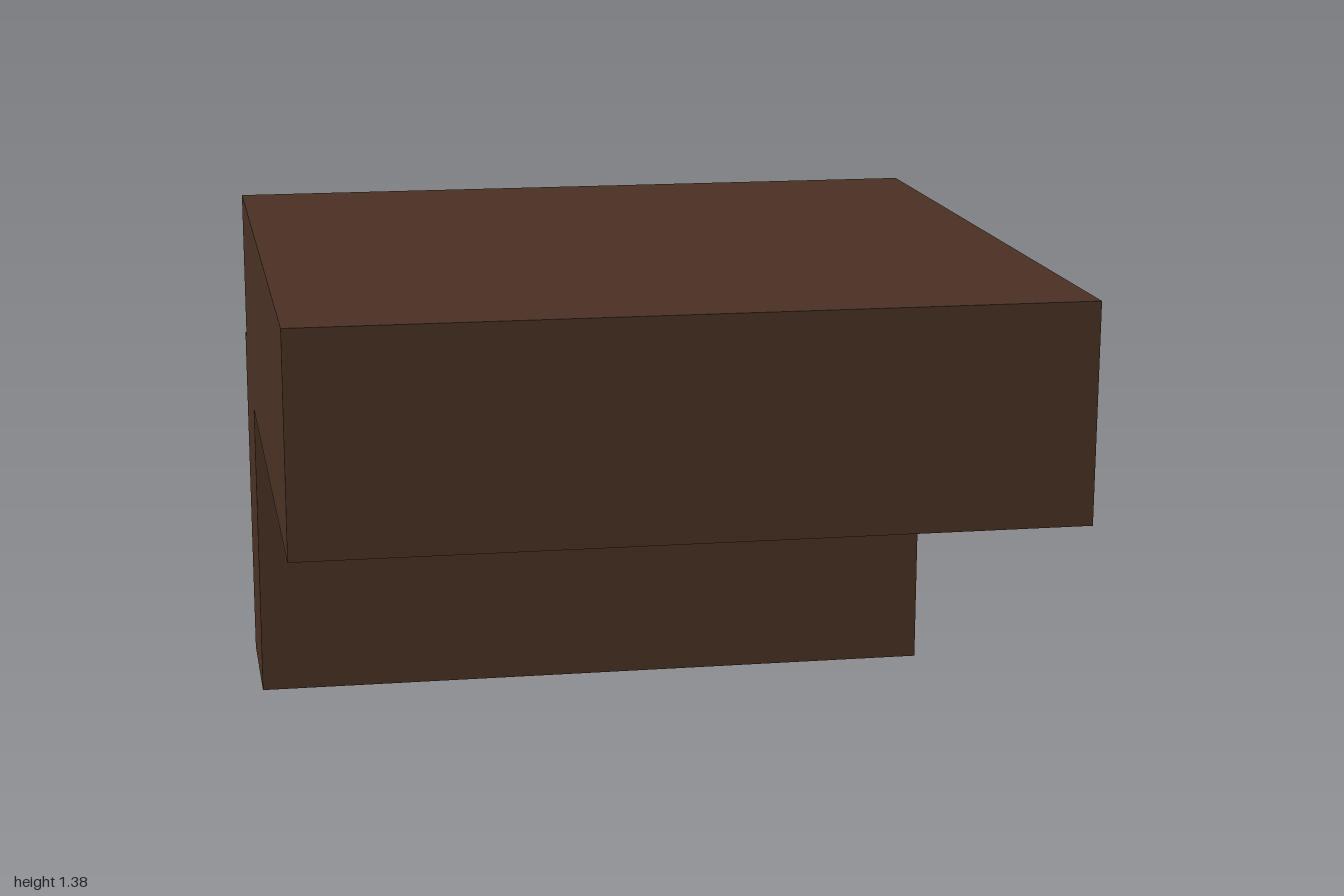
import * as THREE from 'three';

const HALF_WIDTH = 0.965;

export function createModel() {
  const group = new THREE.Group();
  group.name = 'steppedBlock';

  // Side profile as [z, y]: thick overhanging slab on a rear wall with a small back ledge
  const profile = [
    [-1, 0], [-0.585, 0], [-0.585, 0.83], [1, 0.83],
    [1, 1.38], [-0.93, 1.38], [-0.93, 0.965], [-1, 0.965],
  ];
  const shape = new THREE.Shape(profile.map(([z, y]) => new THREE.Vector2(z, y)));

  // Extrude across the width, then turn the profile into the z-y plane
  const geometry = new THREE.ExtrudeGeometry(shape, { depth: 2 * HALF_WIDTH, bevelEnabled: false });
  geometry.translate(0, 0, -HALF_WIDTH);
  geometry.rotateY(-Math.PI / 2);

  const body = new THREE.Mesh(geometry, new THREE.MeshStandardMaterial({ color: 0x4a3223 }));
  body.name = 'slabAndRearWall';
  group.add(body);
  return group;
}
